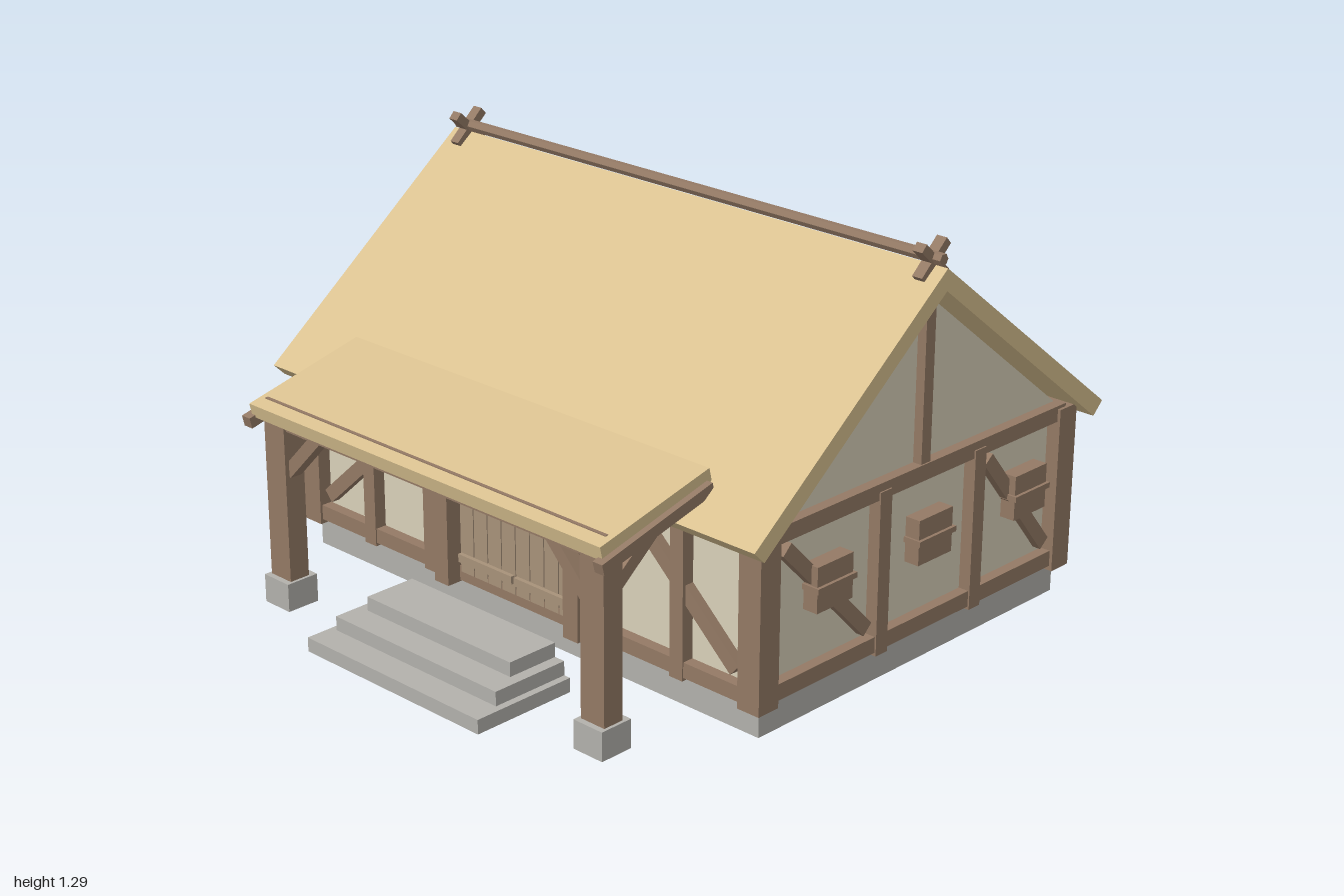
import * as THREE from 'three';

const mat = (color) => new THREE.MeshStandardMaterial({ color, flatShading: true });

export function createModel() {
  const house = new THREE.Group();
  house.name = 'timberHouse';
  const wood = mat(0x947a65), door = mat(0xa8927a), plaster = mat(0xd9d1ba);
  const stone = mat(0xb3b1ac), thatch = mat(0xd9c190);

  const add = (name, geometry, material) => {
    const mesh = new THREE.Mesh(geometry, material);
    mesh.name = name;
    house.add(mesh);
    return mesh;
  };
  // Box given by its extents on each axis
  const box = (name, [x0, x1], [y0, y1], [z0, z1], m = wood) => {
    const b = add(name, new THREE.BoxGeometry(x1 - x0, y1 - y0, z1 - z0), m);
    b.position.set((x0 + x1) / 2, (y0 + y1) / 2, (z0 + z1) / 2);
    return b;
  };
  // Slanted beam in a plane of constant z
  const beamXY = (name, [xa, ya], [xb, yb], z, thick, depth) => {
    const b = add(name, new THREE.BoxGeometry(Math.hypot(xb - xa, yb - ya), thick, depth), wood);
    b.position.set((xa + xb) / 2, (ya + yb) / 2, z);
    b.rotation.z = Math.atan2(yb - ya, xb - xa);
    return b;
  };
  // Slanted beam in a plane of constant x
  const beamZY = (name, [za, ya], [zb, yb], x, thick, width, m = wood) => {
    const b = add(name, new THREE.BoxGeometry(width, thick, Math.hypot(zb - za, yb - ya)), m);
    b.position.set(x, (ya + yb) / 2, (za + zb) / 2);
    b.rotation.x = -Math.atan2(yb - ya, zb - za);
    return b;
  };
  // Side profile of [z, y] points extruded along x
  const prism = (name, points, halfWidth, m) => {
    const shape = new THREE.Shape(points.map(([z, y]) => new THREE.Vector2(-z, y)));
    const g = new THREE.ExtrudeGeometry(shape, { depth: halfWidth * 2, bevelEnabled: false });
    g.translate(0, 0, -halfWidth).rotateY(Math.PI / 2);
    return add(name, g, m);
  };

  // Foundation, plaster walls with gables, main roof
  const ridgeZ = -0.207;
  box('foundation', [-0.93, 0.93], [0, 0.1], [-0.87, 0.46], stone);
  prism('walls', [[0.455, 0.1], [0.455, 0.61], [ridgeZ, 1.13], [-0.865, 0.61], [-0.865, 0.1]], 0.92, plaster);
  prism('mainRoof', [[0.567, 0.612], [ridgeZ, 1.216], [-0.981, 0.612],
    [-0.941, 0.573], [ridgeZ, 1.15], [0.527, 0.573]], 1, thatch);

  // Ridge pole and crossed finials
  const ridge = add('ridgePole', new THREE.CylinderGeometry(0.018, 0.018, 1.97, 6), wood);
  ridge.rotation.z = Math.PI / 2;
  ridge.position.set(0, 1.237, ridgeZ);
  for (const x of [-0.94, 0.94]) for (const s of [-1, 1]) {
    beamZY('ridgeCross', [ridgeZ - s * 0.05, 1.18], [ridgeZ + s * 0.053, 1.275], x, 0.028, 0.035);
  }

  // Front and back framing
  for (const [z0, z1] of [[0.44, 0.492], [-0.902, -0.85]]) {
    box('sill', [-0.93, 0.93], [0.105, 0.153], [z0, z1]);
    box('wallPlate', [-0.93, 0.93], [0.575, 0.615], [z0, z1]);
    for (const x of [-0.65, -0.375, 0.375, 0.65]) {
      box('wallPost', [x - 0.025, x + 0.025], [0.095, 0.6], [z0 - 0.004, z1 + 0.004]);
    }
  }

  for (const s of [-1, 1]) {
    const span = (a, b) => (s > 0 ? [a, b] : [-b, -a]);

    // Corner posts
    for (const z of [0.46, -0.862]) {
      box('cornerPost', span(0.885, 0.965), [0.09, 0.615], [z - 0.04, z + 0.04]);
    }

    // Gable side framing
    box('sideSill', span(0.91, 0.955), [0.105, 0.155], [-0.86, 0.46]);
    box('sideRail', span(0.91, 0.955), [0.575, 0.625], [-0.86, 0.46]);
    for (const z of [-0.025, -0.45]) {
      box('sidePost', span(0.905, 0.96), [0.095, 0.6], [z - 0.025, z + 0.025]);
    }
    box('gablePost', span(0.91, 0.95), [0.62, 1.14], [ridgeZ - 0.02, ridgeZ + 0.02]);
    beamZY('sideBrace', [0.375, 0.545], [0.025, 0.185], s * 0.93, 0.045, 0.035);
    beamZY('sideBrace', [-0.505, 0.545], [-0.8, 0.185], s * 0.93, 0.045, 0.035);

    // Shuttered windows with a cross bar
    for (const z of [0.198, -0.24, -0.685]) {
      box('shutter', span(0.91, 0.97), [0.325, 0.465], [z - 0.075, z + 0.075]);
      box('shutterBar', span(0.91, 0.98), [0.388, 0.405], [z - 0.082, z + 0.082]);
    }

    // Front wall brace and door post
    beamXY('frontBrace', [s * 0.86, 0.19], [s * 0.455, 0.555], 0.468, 0.045, 0.035);
    box('doorPost', span(0.245, 0.305), [0.1, 0.59], [0.42, 0.54]);

    // Porch post on its stone, with two braces and a rafter
    box('porchStone', span(0.61, 0.72), [0, 0.09], [0.745, 0.857], stone);
    box('porchPost', span(0.62, 0.71), [0.09, 0.6], [0.768, 0.838]);
    beamZY('porchBrace', [0.78, 0.465], [0.615, 0.6], s * 0.665, 0.042, 0.042);
    beamXY('porchBrace', [s * 0.63, 0.44], [s * 0.485, 0.59], 0.803, 0.04, 0.042);
    beamZY('porchRafter', [0.882, 0.588], [0.46, 0.694], s * 0.735, 0.035, 0.036);
  }

  // Porch roof slab and front beam
  prism('porchRoof', [[0.873, 0.645], [0.455, 0.745], [0.445, 0.703], [0.863, 0.602]], 0.732, thatch);
  box('porchBeam', [-0.71, 0.71], [0.575, 0.658], [0.772, 0.83]);

  // Double door of planks with ledges on each leaf
  box('doorBacking', [-0.245, 0.245], [0.13, 0.58], [0.44, 0.475], wood);
  for (let i = 0; i < 8; i++) {
    const x = -0.21 + i * 0.06;
    box('doorPlank', [x - 0.028, x + 0.028], [0.135, 0.578], [0.46, 0.493], door);
  }
  for (const x of [-0.12, 0.12]) for (const y of [0.185, 0.483]) {
    box('doorLedge', [x - 0.115, x + 0.115], [y - 0.013, y + 0.013], [0.48, 0.507], door);
  }

  // Entrance steps
  [[0.365, 0.045, 0.985], [0.342, 0.09, 0.895], [0.305, 0.135, 0.805]].forEach(([w, h, z]) => {
    box('step', [-w, w], [0, h], [0.63, z], stone);
  });

  return house;
}
